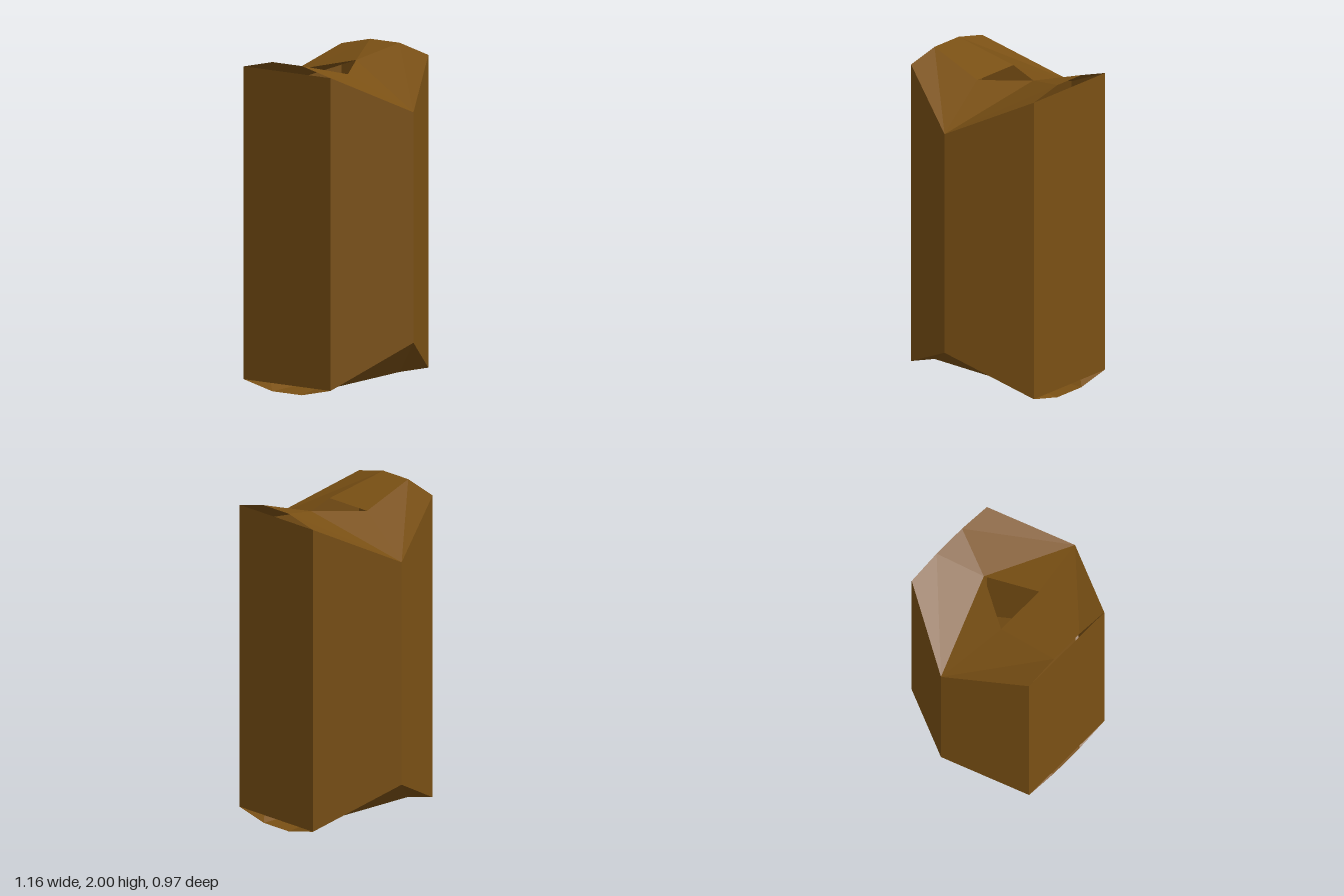
import * as THREE from 'three';

const material = new THREE.MeshStandardMaterial({ color: 0x7a5014, flatShading: true, side: THREE.DoubleSide });

// Mesh from a list of triangles, each of three [x, y, z] corners
function faces(name, triangles) {
  const geometry = new THREE.BufferGeometry();
  geometry.setAttribute('position', new THREE.Float32BufferAttribute(triangles.flat(2), 3));
  geometry.computeVertexNormals();
  const mesh = new THREE.Mesh(geometry, material);
  mesh.name = name;
  return mesh;
}

// Adds the copy mirrored in x, with its winding reversed
const flip = ([x, y, z]) => [-x, y, z];
const mirrored = (triangles) => [...triangles, ...triangles.map(([a, b, c]) => [flip(a), flip(c), flip(b)])];

export function createModel() {
  const group = new THREE.Group();
  const D = 0.485;

  // Rim of the +x half, front to back, at the top or the bottom
  const rim = (top) => [[0.11, 0, D], [0.325, 0.05, D], [0.58, 0.3, 0], [0.325, 0.05, -D], [0.11, 0, -D]]
    .map(([x, y, z]) => [x, top ? 2 - y : y, z]);

  // Six straight walls between the rim corners
  const corners = (top) => {
    const side = rim(top).slice(1, 4);
    return [...side, ...side.map(flip).reverse()];
  };
  const low = corners(false), high = corners(true);
  const walls = [];
  for (let i = 0; i < 6; i++) {
    const j = (i + 1) % 6;
    walls.push([low[i], low[j], high[j]], [low[i], high[j], high[i]]);
  }
  group.add(faces('walls', walls));

  // Bottom: flat middle strip with sides folding up to the side corners
  {
    const [f1, f2, s, b2, b1] = rim(false);
    group.add(faces('bottom', [
      ...mirrored([[f1, s, f2], [f1, b1, s], [b1, b2, s]]),
      [f1, flip(f1), b1], [flip(f1), flip(b1), b1],
    ]));
  }

  // Top: dished surface round a triangular opening
  {
    const [f1, f2, s, b2, b1] = rim(true);
    const hole = [0.165, 1.9, 0.1], apex = [0, 1.925, -0.2];
    group.add(faces('top', [
      ...mirrored([[f1, f2, s], [f1, s, hole], [hole, s, apex], [apex, s, b1], [s, b2, b1]]),
      [flip(f1), f1, hole], [flip(f1), hole, flip(hole)],
      [apex, b1, flip(b1)],
    ]));
  }
  return group;
}
